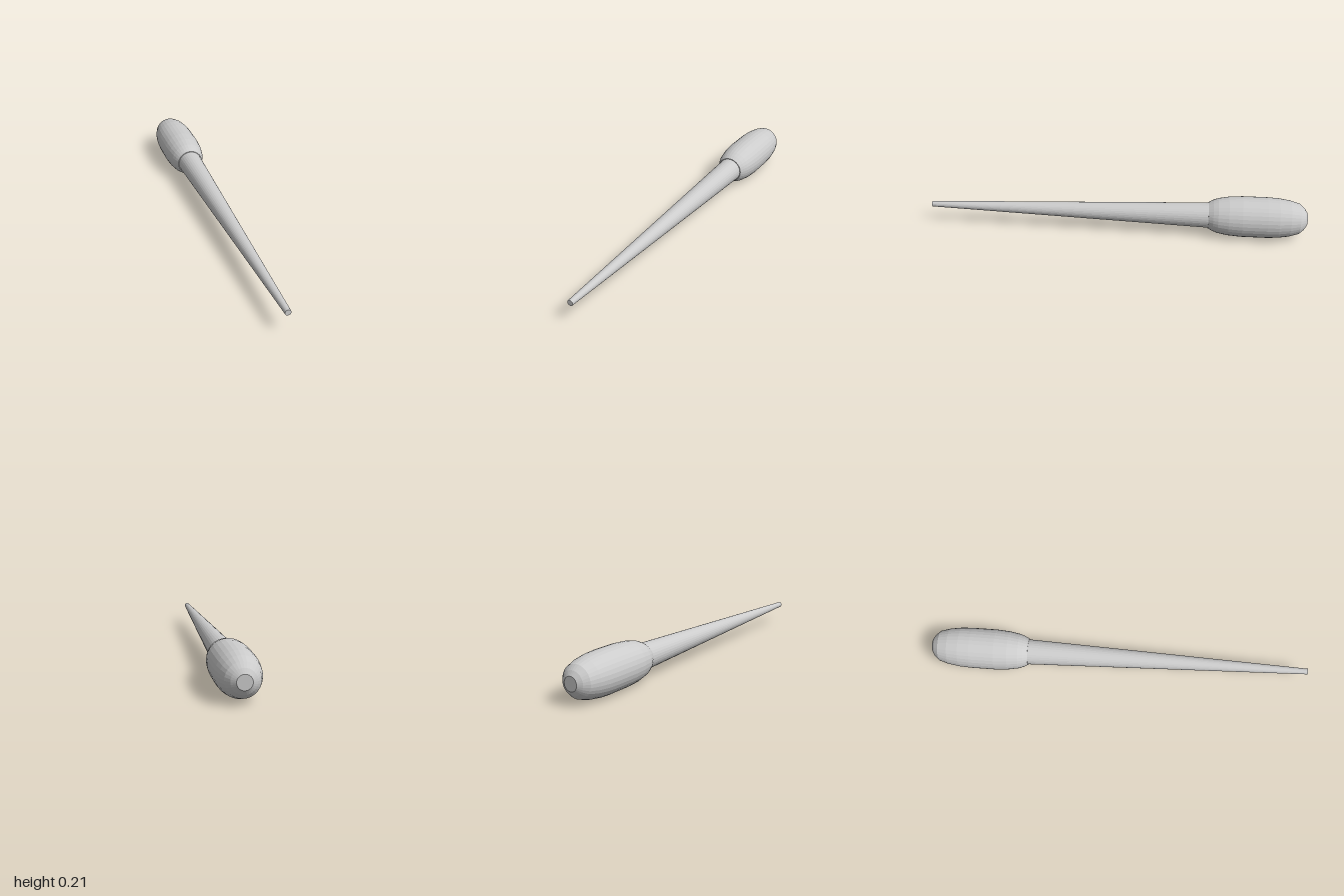
import * as THREE from 'three';

const RADIUS = 0.107;
const SIDES = 32;

// Turned part along z from [radius, z] pairs, listed back to front
function turned(name, profile) {
  const points = profile.map(([r, z]) => new THREE.Vector2(r, z));
  const geometry = new THREE.LatheGeometry(points, SIDES);
  geometry.rotateX(Math.PI / 2);
  const material = new THREE.MeshStandardMaterial({ color: 0xcccccc, flatShading: true });
  const mesh = new THREE.Mesh(geometry, material);
  mesh.name = name;
  mesh.position.y = RADIUS;
  return mesh;
}

export function createModel() {
  const group = new THREE.Group();
  group.name = 'taperedTool';

  // Barrel-shaped grip with a small flat butt
  group.add(turned('grip', [
    [0, -1], [0.035, -1], [0.058, -0.985], [0.08, -0.96], [0.095, -0.91],
    [0.104, -0.85], [RADIUS, -0.79], [RADIUS, -0.66], [0.102, -0.59],
    [0.092, -0.535], [0.083, -0.51], [0.07, -0.485], [0, -0.485],
  ]));

  // Long tapering shaft with a blunt tip
  group.add(turned('shaft', [
    [0, -0.5], [0.067, -0.5], [0.015, 1], [0, 1],
  ]));

  return group;
}
